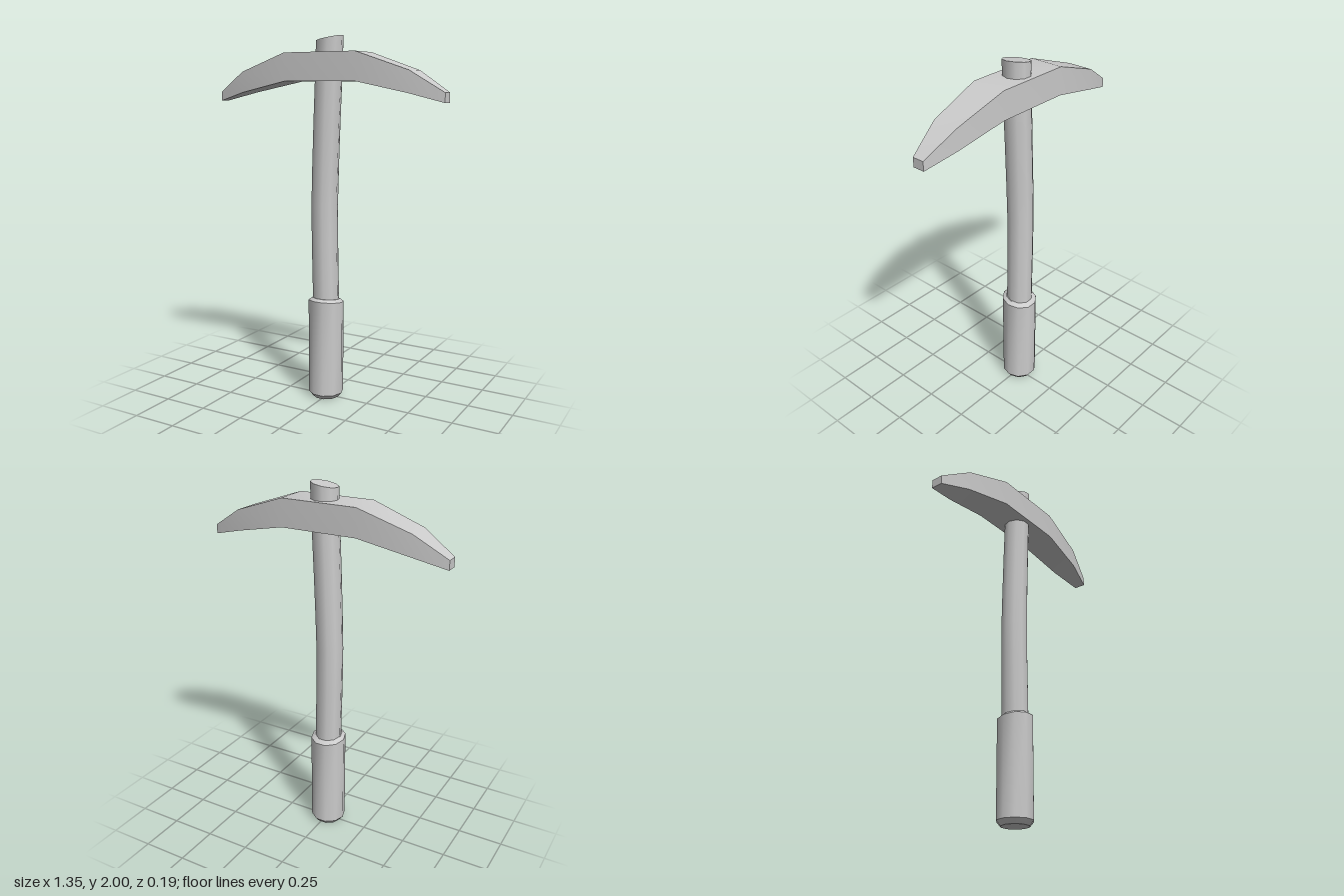
import * as THREE from 'three';
import { toCreasedNormals } from 'three/addons/utils/BufferGeometryUtils.js';

const material = new THREE.MeshStandardMaterial({ color: 0xcccccc });
const SIDES = 10;

// Capped skin over rings of [x, y, z] points, each counter-clockwise seen from the end of the loft
function loft(name, rings) {
  const n = rings[0].length;
  const pos = [];
  const tri = (a, b, c) => pos.push(...a, ...b, ...c);
  for (let i = 0; i < rings.length - 1; i++) {
    for (let j = 0; j < n; j++) {
      const k = (j + 1) % n;
      const [a, b, c, d] = [rings[i][j], rings[i][k], rings[i + 1][k], rings[i + 1][j]];
      tri(a, b, c);
      tri(a, c, d);
    }
  }
  const first = rings[0], last = rings[rings.length - 1];
  for (let j = 1; j < n - 1; j++) {
    tri(first[0], first[j + 1], first[j]);
    tri(last[0], last[j], last[j + 1]);
  }
  const geometry = new THREE.BufferGeometry();
  geometry.setAttribute('position', new THREE.Float32BufferAttribute(pos, 3));
  const mesh = new THREE.Mesh(toCreasedNormals(geometry, 0.65), material);
  mesh.name = name;
  return mesh;
}

// Round ring about the vertical; tiltX and tiltZ slope it
function ring(x, y, r, tiltX = 0, tiltZ = 0) {
  return Array.from({ length: SIDES }, (_, j) => {
    const a = (j / SIDES) * Math.PI * 2;
    const dx = Math.cos(a) * r, dz = -Math.sin(a) * r;
    return [x + dx, y + dx * tiltX + dz * tiltZ, dz - 0.002];
  });
}

export function createModel() {
  const group = new THREE.Group();
  group.name = 'pickaxe';

  // Slightly bowed shaft with a slanted top
  group.add(loft('handle', [
    ring(-0.01, 0.4, 0.073),
    ring(-0.011, 0.6, 0.073),
    ring(-0.017, 0.9, 0.073),
    ring(-0.0185, 1.1, 0.073),
    ring(-0.013, 1.3, 0.073),
    ring(-0.004, 1.55, 0.073),
    ring(0.005, 1.76, 0.073),
    ring(0.013, 1.986, 0.073, 0.18, -0.06),
  ]));

  // Thick grip with bevelled ends, its upper rim sloping to the back
  group.add(loft('grip', [
    ring(-0.01, 0, 0.076),
    ring(-0.01, 0.027, 0.098),
    ring(-0.01, 0.557, 0.098, 0, 0.12),
    ring(-0.01, 0.572, 0.078, 0, 0.12),
  ]));

  // Curved double-ended head: half-length, bottom, top, half-depth
  const sections = [
    [0.677, 1.655, 1.705, 0.033],
    [0.5, 1.702, 1.815, 0.073],
    [0.212, 1.762, 1.912, 0.096],
  ];
  const slice = (x, low, high, d) =>
    [[x, low, d], [x, low, -d], [x, high, -d], [x, high, d]].map(([px, py, pz]) => [px - 0.002, py, pz - 0.002]);
  group.add(loft('head', [
    ...sections.map(([x, ...rest]) => slice(-x, ...rest)),
    ...sections.slice().reverse().map((s) => slice(...s)),
  ]));

  return group;
}
